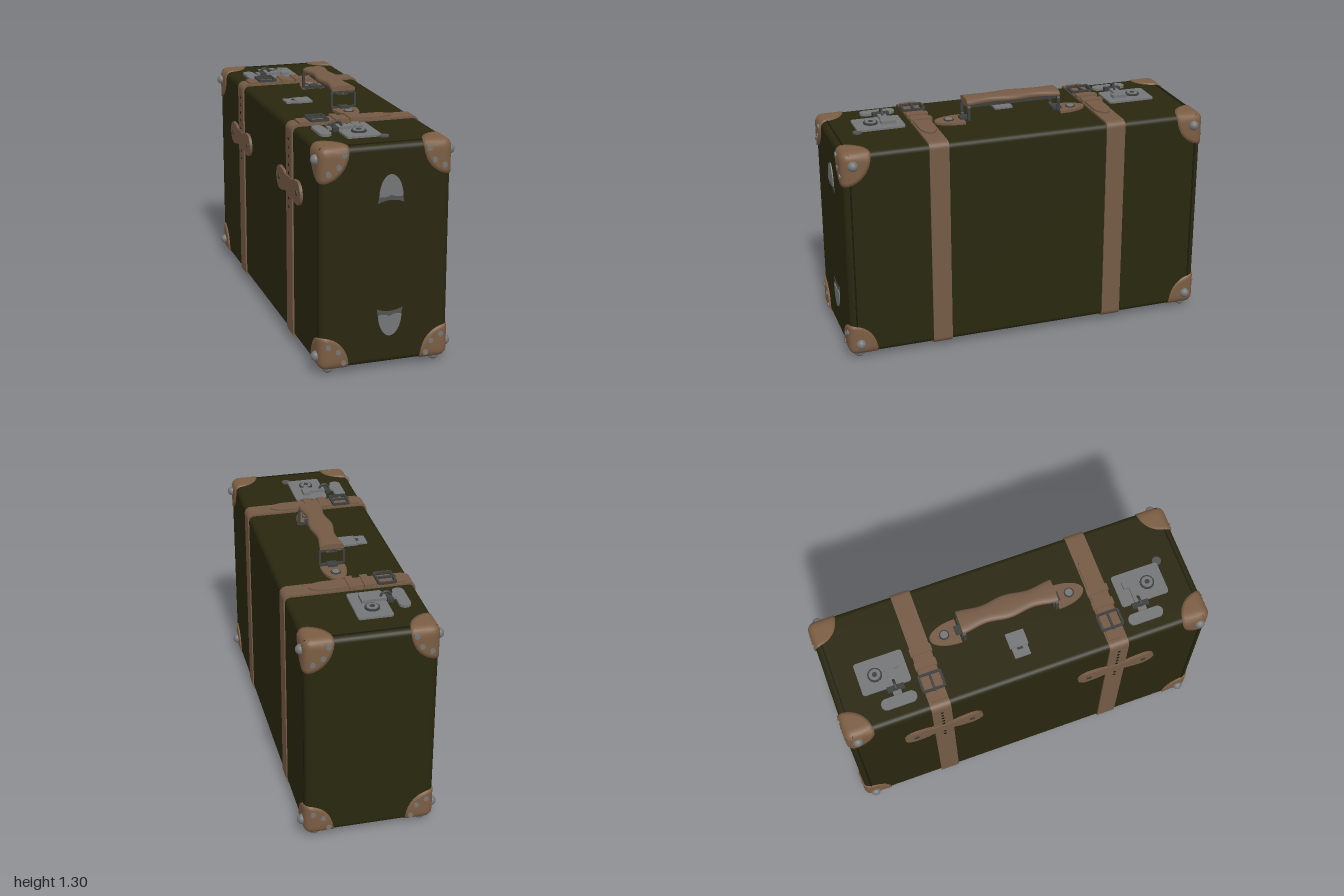
import * as THREE from 'three';
import { mergeVertices } from 'three/addons/utils/BufferGeometryUtils.js';
import { RoundedBoxGeometry } from 'three/addons/geometries/RoundedBoxGeometry.js';

const material = (name, color, side = THREE.FrontSide) => {
  const m = new THREE.MeshStandardMaterial({ color, side });
  m.name = name;
  return m;
};
const canvas = material('olive canvas', 0x29270f);
const trim = material('dark trim', 0x1a190b);
const leather = material('strap leather', 0x745a45);
const capLeather = material('corner leather', 0x7b5d43, THREE.DoubleSide);
const steel = material('steel', 0x747576);
const darkSteel = material('dark steel', 0x3c3f3e);
const shadeSteel = material('aged steel', 0x525252);

const TOP = 1.17, BOTTOM = 0.035, HX = 0.335;

export function createModel() {
  const root = new THREE.Group();
  root.name = 'suitcase';

  const add = (name, geometry, mat, x = 0, y = 0, z = 0) => {
    const mesh = new THREE.Mesh(geometry, mat);
    mesh.name = name;
    mesh.position.set(x, y, z);
    root.add(mesh);
    return mesh;
  };
  const box = (name, mat, w, h, d, x, y, z) => add(name, new THREE.BoxGeometry(w, h, d), mat, x, y, z);
  const disc = (name, mat, r, h, x, y, z) => add(name, new THREE.CylinderGeometry(r, r, h, 20), mat, x, y, z);
  const extrude = (shape, depth, bevel = 0) => new THREE.ExtrudeGeometry(shape, {
    depth, bevelEnabled: bevel > 0, bevelSize: bevel, bevelThickness: bevel, bevelSegments: 2, curveSegments: 12,
  });
  // lays an x/z outline flat, with its upper face at y = 0
  const flat = (shape, depth) => extrude(shape, depth).rotateX(Math.PI / 2);
  const roundRect = (x0, y0, x1, y1, r, Type = THREE.Shape) => {
    const s = new Type();
    s.absarc(x1 - r, y0 + r, r, -Math.PI / 2, 0);
    s.absarc(x1 - r, y1 - r, r, 0, Math.PI / 2);
    s.absarc(x0 + r, y1 - r, r, Math.PI / 2, Math.PI);
    s.absarc(x0 + r, y0 + r, r, Math.PI, Math.PI * 1.5);
    s.closePath();
    return s;
  };
  const ring = (x0, y0, x1, y1, r, t) => {
    const s = roundRect(x0, y0, x1, y1, r);
    s.holes.push(roundRect(x0 + t, y0 + t, x1 - t, y1 - t, Math.max(r - t, 0.004), THREE.Path));
    return s;
  };

  // Body and thin piping around both ends
  add('body', new RoundedBoxGeometry(HX * 2, TOP - BOTTOM, 1.98, 4, 0.03), canvas, 0, (TOP + BOTTOM) / 2, 0);
  for (const s of [-1, 1]) {
    add('endPiping', extrude(ring(-HX - 0.003, BOTTOM - 0.003, HX + 0.003, TOP + 0.003, 0.03, 0.012), 0.008), trim, 0, 0, s * 0.955 - 0.004);
  }

  // Corner cap: three rounded quarter panels wrapped over one box corner
  const capGeometry = (s, corner) => {
    const size = [0.153, 0.178, 0.155], R = 0.045, N = 10, pos = [], index = [];
    const flip = s[0] * s[1] * s[2] < 0;
    for (let w = 0; w < 3; w++) {
      const u = (w + 1) % 3, v = (w + 2) % 3, base = pos.length / 3;
      for (let i = 0; i <= N + 1; i++) for (let j = 0; j <= N; j++) {
        const r = Math.min(i / N, 1), a = (j / N) * Math.PI / 2, p = [0, 0, 0];
        p[u] = r * size[u] * Math.pow(Math.abs(Math.cos(a)), 0.9);
        p[v] = r * size[v] * Math.pow(Math.sin(a), 0.9);
        const q = p.map(c => Math.max(c, R));
        const len = Math.hypot(...p.map((c, k) => c - q[k]));
        const rad = i > N ? R - 0.018 : R; // last ring turns the rim inward
        p.forEach((c, k) => pos.push(corner[k] - s[k] * (q[k] + (c - q[k]) / len * rad)));
      }
      for (let i = 0; i <= N; i++) for (let j = 0; j < N; j++) {
        const a = base + i * (N + 1) + j, b = a + N + 1;
        if (flip) index.push(a, b + 1, b, a, a + 1, b + 1);
        else index.push(a, b, b + 1, a, b + 1, a + 1);
      }
    }
    let g = new THREE.BufferGeometry();
    g.setAttribute('position', new THREE.Float32BufferAttribute(pos, 3));
    g.setIndex(index);
    g = mergeVertices(g, 1e-5);
    g.computeVertexNormals();
    return g;
  };
  const rivets = [[0.125, 0.04], [0.097, 0.1], [0.045, 0.13]];
  for (const sx of [-1, 1]) for (const sy of [-1, 1]) for (const sz of [-1, 1]) {
    const corner = [sx * 0.343, sy > 0 ? 1.177 : 0.028, sz];
    add('cornerCap', capGeometry([sx, sy, sz], corner), capLeather);
    for (const [u, v] of rivets) {
      disc('capRivet', steel, 0.014, 0.008, corner[0] - sx * u, corner[1] - sy * v, sz).rotation.x = Math.PI / 2;
    }
    // domed side stud, and a foot under the lower corners
    add('sideStud', new THREE.SphereGeometry(0.027, 20, 14), steel, sx * 0.343, sy > 0 ? 1.11 : 0.098, sz * 0.94);
    if (sy < 0) add('foot', new THREE.SphereGeometry(0.027, 20, 14), steel, sx * 0.283, 0.027, sz * 0.94);
  }

  // Shield plates on the front end
  for (const s of [-1, 1]) {
    const shield = new THREE.Shape();
    shield.moveTo(-0.062, -0.03);
    shield.bezierCurveTo(-0.058, 0.04, -0.03, 0.078, 0, 0.08);
    shield.bezierCurveTo(0.03, 0.078, 0.058, 0.04, 0.062, -0.03);
    shield.quadraticCurveTo(0.03, -0.04, 0, -0.022);
    shield.quadraticCurveTo(-0.03, -0.04, -0.062, -0.03);
    const lip = new THREE.Shape();
    lip.moveTo(-0.068, -0.065);
    lip.quadraticCurveTo(0, -0.035, 0.068, -0.065);
    lip.lineTo(0.06, -0.02);
    lip.lineTo(-0.06, -0.02);
    const y = s > 0 ? 0.94 : 0.262;
    const turn = s > 0 ? 0 : Math.PI;
    add('endPlate', extrude(shield, 0.009), steel, 0.025, y, 0.987).rotation.z = turn;
    add('endPlateLip', extrude(lip, 0.005), shadeSteel, 0.025, y, 0.987).rotation.z = turn;
  }

  for (const s of [-1, 1]) {
    const z = s * 0.487;
    // Strap wrapped around the body
    add('strap', extrude(ring(-0.344, 0.026, 0.341, 1.181, 0.035, 0.012), 0.105), leather, 0, 0, z - 0.0525);
    box('strapLap', leather, 0.25, 0.008, 0.1, 0.165, 0.026, z);
    // Pointed tongue, keeper loops and buckle on top
    const tongue = new THREE.Shape();
    tongue.moveTo(-0.3, -0.045);
    tongue.lineTo(0.13, -0.045);
    tongue.quadraticCurveTo(0.19, -0.035, 0.205, 0);
    tongue.quadraticCurveTo(0.19, 0.035, 0.13, 0.045);
    tongue.lineTo(-0.3, 0.045);
    add('strapTongue', flat(tongue, 0.012), leather, 0, 1.191, z);
    for (const x of [-0.095, -0.015]) box('keeperLoop', leather, 0.038, 0.02, 0.116, x, 1.188, z);
    add('buckleFrame', flat(ring(-0.05, -0.064, 0.05, 0.064, 0.015, 0.012), 0.012), darkSteel, -0.195, 1.203, z);
    box('buckleProng', darkSteel, 0.1, 0.01, 0.012, -0.2, 1.2, z);
    // Punched holes down the strap on the right side
    for (let i = 0; i < 9; i++) {
      disc('strapHole', trim, 0.008, 0.003, -0.3445, 1.1 - i * 0.045, z).rotation.z = Math.PI / 2;
    }
    // Leather strap holder with riveted round ends on the right side
    const holder = new THREE.Shape();
    holder.absarc(-0.155, 0, 0.062, Math.PI / 2, Math.PI * 1.5);
    holder.quadraticCurveTo(-0.09, -0.06, -0.065, -0.045);
    holder.lineTo(0.065, -0.045);
    holder.quadraticCurveTo(0.09, -0.06, 0.155, -0.062);
    holder.absarc(0.155, 0, 0.062, -Math.PI / 2, Math.PI / 2);
    holder.quadraticCurveTo(0.09, 0.06, 0.065, 0.045);
    holder.lineTo(-0.065, 0.045);
    holder.quadraticCurveTo(-0.09, 0.06, -0.155, 0.062);
    add('strapHolder', extrude(holder, 0.015), leather, -0.335, 0.857, z).rotation.y = -Math.PI / 2;
    for (const e of [-1, 1]) {
      disc('holderRivet', darkSteel, 0.014, 0.006, -0.351, 0.857, z + e * 0.155).rotation.z = Math.PI / 2;
    }

    // Latch plate, lock knob, lever and catch
    add('lockPlate', flat(roundRect(-0.09, -0.13, 0.09, 0.13, 0.015), 0.012), steel, -0.058, 1.18, s * 0.71);
    disc('lockRing', darkSteel, 0.038, 0.012, -0.06, 1.183, s * 0.75);
    disc('lockFace', steel, 0.03, 0.014, -0.06, 1.185, s * 0.75);
    disc('lockCentre', darkSteel, 0.013, 0.018, -0.06, 1.186, s * 0.75);
    add('catchPlate', flat(roundRect(-0.03, -0.095, 0.03, 0.095, 0.029), 0.014), steel, -0.23, 1.183, s * 0.675);
    box('latchArm', steel, 0.18, 0.014, 0.045, -0.11, 1.188, s * 0.67);
    box('latchHinge', darkSteel, 0.03, 0.02, 0.09, -0.165, 1.188, s * 0.67);
    box('latchBlock', steel, 0.04, 0.018, 0.08, -0.04, 1.188, s * 0.66);
    add('latchRing', new THREE.TorusGeometry(0.026, 0.007, 8, 20), darkSteel, -0.15, 1.192, s * 0.67);

    // Handle tab, bolt and bracket
    const tab = new THREE.Shape();
    tab.moveTo(-0.066, -0.075);
    tab.lineTo(0.066, -0.075);
    tab.bezierCurveTo(0.068, 0, 0.04, 0.08, 0, 0.08);
    tab.bezierCurveTo(-0.04, 0.08, -0.068, 0, -0.066, -0.075);
    const tabMesh = add('handleTab', extrude(tab, 0.014), leather, 0.025, s > 0 ? 1.183 : 1.169, s * 0.343);
    tabMesh.rotation.x = s * Math.PI / 2;
    disc('tabBoltRing', darkSteel, 0.027, 0.006, 0.025, 1.184, s * 0.345);
    disc('tabBolt', steel, 0.02, 0.012, 0.025, 1.184, s * 0.345);
    add('handleBracket', extrude(ring(-0.07, 1.178, 0.07, 1.272, 0.018, 0.012), 0.016), darkSteel, 0.025, 0, s * 0.252 - 0.008);
    box('bracketClasp', darkSteel, 0.05, 0.016, 0.05, 0.025, 1.186, s * 0.262);

    // Hinge plates under the case
    for (const hz of [0.25, 0.71]) box('hingePlate', steel, 0.07, 0.01, 0.09, -0.16, 0.032, s * hz);
  }

  // Handle grip, waisted either side of a fuller middle
  const grip = new THREE.CylinderGeometry(1, 1, 0.52, 28, 24).rotateX(Math.PI / 2);
  const p = grip.attributes.position;
  for (let i = 0; i < p.count; i++) {
    const z = p.getZ(i), x = p.getX(i), y = p.getY(i);
    const width = 0.056 + 0.008 * Math.cos(z / 0.26 * Math.PI * 2);
    const square = c => Math.sign(c) * Math.pow(Math.abs(c), 0.75);
    p.setXYZ(i, square(x) * width, square(y) * 0.021 + 0.004 * (1 - (z / 0.26) ** 2), z);
  }
  grip.computeVertexNormals();
  add('handleGrip', grip, leather, 0.025, 1.28, 0);
  box('handleBar', darkSteel, 0.06, 0.014, 0.5, 0.025, 1.255, 0);

  // Small hasp at the middle and a loose stud on top
  box('hasp', steel, 0.085, 0.014, 0.1, -0.122, 1.174, 0);
  box('haspTongue', steel, 0.055, 0.012, 0.086, -0.194, 1.174, 0);
  box('haspSlot', darkSteel, 0.012, 0.004, 0.03, -0.175, 1.181, 0);
  disc('topStud', shadeSteel, 0.024, 0.01, 0.038, 1.173, 0.845);

  return root;
}
